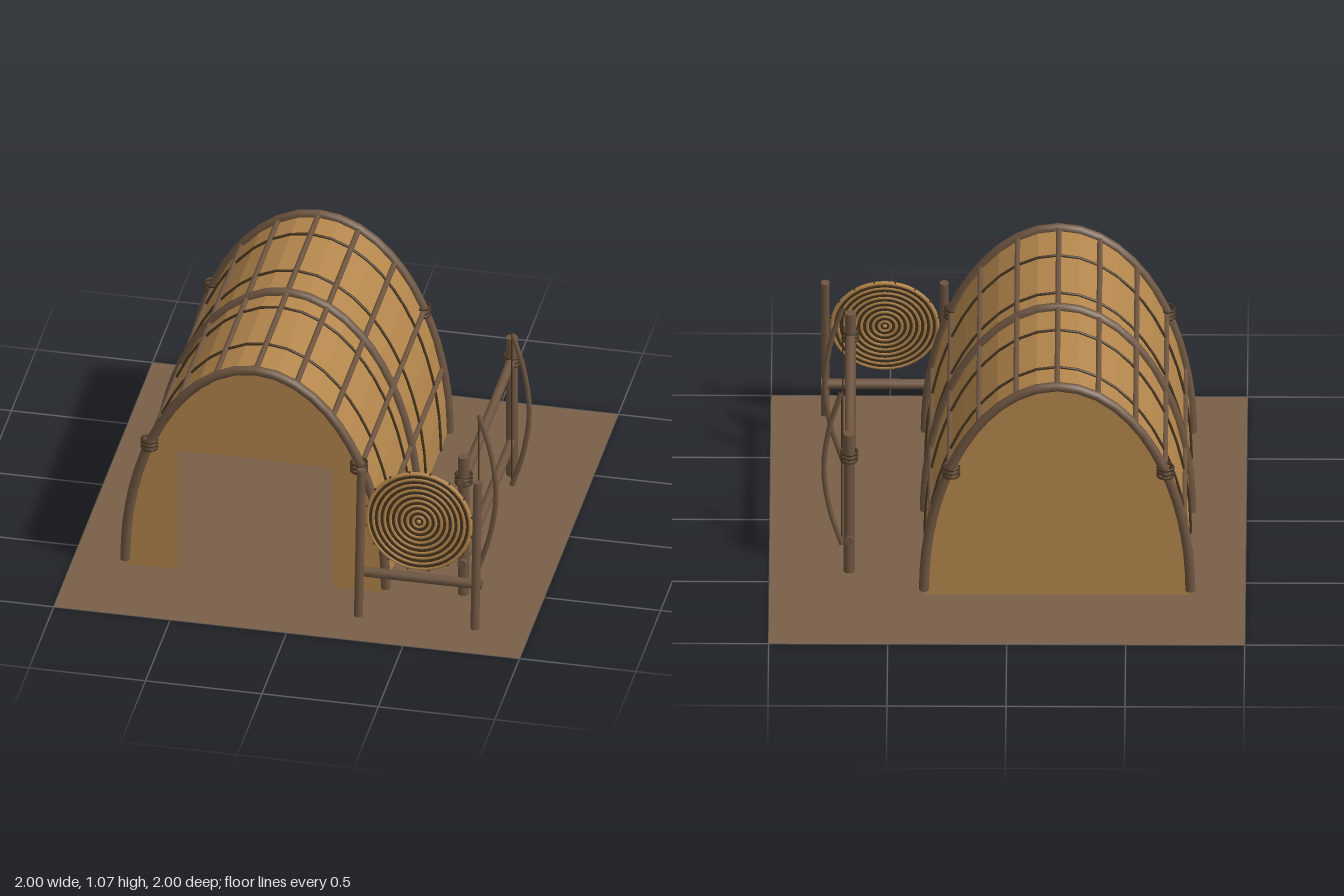
import * as THREE from 'three';

const mat = (name, color, side = THREE.FrontSide) => {
  const m = new THREE.MeshStandardMaterial({ color, side });
  m.name = name;
  return m;
};

export function createModel() {
  const root = new THREE.Group();
  root.name = 'archedHut';
  const earth = mat('earth', 0x7a5f47, THREE.DoubleSide);
  const bark = mat('bark', 0xb3864c, THREE.DoubleSide);
  bark.flatShading = true;
  const wood = mat('wood', 0x6e5540);
  const cord = mat('cord', 0x46341f);
  const shade = mat('shade', 0x3c2c22, THREE.DoubleSide);
  const straw = mat('straw', 0xb8894c);

  const V = (x, y, z) => new THREE.Vector3(x, y, z);
  const add = (name, geo, material, parent = root) => {
    const m = new THREE.Mesh(geo, material);
    m.name = name;
    parent.add(m);
    return m;
  };
  // straight round pole between two points
  const pole = (name, a, b, r, material = wood, parent = root) => {
    const m = add(name, new THREE.CylinderGeometry(r, r, a.distanceTo(b), 10), material, parent);
    m.position.copy(a).add(b).multiplyScalar(0.5);
    m.quaternion.setFromUnitVectors(V(0, 1, 0), b.clone().sub(a).normalize());
    return m;
  };
  // three stacked cord loops round a post
  const binding = (name, x, y, z, r, step = 0.019) => {
    const g = new THREE.Group();
    g.name = name;
    g.position.set(x, y, z);
    for (let i = -1; i <= 1; i++) {
      const t = add('cordLoop', new THREE.TorusGeometry(r, 0.006, 6, 16), cord, g);
      t.rotation.x = Math.PI / 2;
      t.position.y = i * step;
    }
    root.add(g);
  };

  // half-ellipse section shared by cover, end walls and ribs
  const CX = -0.21, BASE = 0.05, A = 0.56, B = 1.0, END = 0.64;
  const arch = (t, z = 0, inset = 0) =>
    V(CX + (A - inset) * Math.cos(t), BASE + (B - inset) * Math.sin(t), z);
  const archPoints = (n, z, inset) =>
    Array.from({ length: n + 1 }, (_, i) => arch((i / n) * Math.PI, z, inset));

  const ground = add('ground', new THREE.PlaneGeometry(2, 2), earth);
  ground.rotation.x = -Math.PI / 2;

  // bark cover, a lofted strip from front to back
  const N = 20;
  const cover = new THREE.PlaneGeometry(1, 1, N, 1);
  const pos = cover.attributes.position;
  for (let i = 0; i < pos.count; i++) {
    const p = arch((1 - (i % (N + 1)) / N) * Math.PI, i <= N ? -0.63 : 0.63, 0.005);
    pos.setXYZ(i, p.x, p.y, p.z);
  }
  cover.computeVertexNormals();
  add('barkCover', cover, bark);

  // end walls
  const endShape = (inset, door) => {
    const pts = archPoints(N, 0, inset).map(p => new THREE.Vector2(p.x, p.y));
    pts.push(new THREE.Vector2(CX - A + inset, 0.022));
    if (door) {
      [[-0.545, 0.022], [-0.545, 0.61], [0.12, 0.61], [0.12, 0.022]]
        .forEach(([x, y]) => pts.push(new THREE.Vector2(x, y)));
    }
    pts.push(new THREE.Vector2(CX + A - inset, 0.022));
    return new THREE.ShapeGeometry(new THREE.Shape(pts));
  };
  add('frontWall', endShape(0.005, true), bark).position.z = 0.635;
  add('backWall', endShape(0.005, false), bark).position.z = -0.635;
  add('darkInterior', endShape(0.02, false), shade).position.z = -0.622;

  // bent ribs and thin cord hoops
  const hoop = (name, z, r, inset, material) => add(name, new THREE.TubeGeometry(
    new THREE.CatmullRomCurve3(archPoints(N, z, inset)), 28, r, 8), material);
  [-END, 0, END].forEach(z => hoop('archRib', z, 0.021, 0, wood));
  [-0.48, -0.18, 0.12, 0.42].forEach(z => hoop('cordHoop', z, 0.006, 0.001, cord));

  // lengthwise poles
  for (let i = 1; i <= 9; i++) {
    const t = (i * Math.PI) / 10;
    pole('lengthPole', arch(t, -0.62), arch(t, 0.62), 0.012);
  }
  for (const x of [CX - 0.455, CX + 0.445])
    for (const z of [-END, END]) binding('ribBinding', x, 0.636, z, 0.033);

  // side rack with two posts and two rails
  const RX = 0.665;
  for (const z of [-0.425, 0.55]) {
    pole('rackPost', V(RX, 0.01, z), V(RX, 0.685, z), 0.025);
    binding('rackBinding', RX, 0.577, z, 0.033);
  }
  for (const y of [0.175, 0.575])
    pole('rackRail', V(RX, y, -0.455), V(RX, y, 0.59), 0.02);

  // bows leaning on the rack
  for (const z of [-0.275, 0.4]) {
    const curve = new THREE.CatmullRomCurve3(
      [V(0.697, 0.05, z), V(0.747, 0.22, z), V(0.772, 0.425, z), V(0.747, 0.63, z), V(0.697, 0.8, z)]);
    add('bow', new THREE.TubeGeometry(curve, 16, 0.011, 8), wood);
    pole('bowString', V(0.697, 0.05, z), V(0.697, 0.8, z), 0.003, cord);
  }

  // leaning frame
  for (const x of [0.272, 0.772])
    pole('framePost', V(x, 0.015, 0.828), V(x, 0.7, 0.767), 0.019);
  pole('frameBar', V(0.26, 0.2, 0.77), V(0.79, 0.2, 0.77), 0.022);

  // coiled straw disc
  const disc = new THREE.Group();
  disc.name = 'coiledDisc';
  disc.position.set(0.522, 0.483, 0.778);
  disc.rotation.x = -0.088;
  root.add(disc);
  const core = add('discCore', new THREE.CylinderGeometry(0.222, 0.222, 0.012, 40), cord, disc);
  core.rotation.x = Math.PI / 2;
  for (let i = 1; i <= 9; i++)
    add('strawCoil', new THREE.TorusGeometry(i * 0.0245, 0.0095, 6, 40), straw, disc);
  add('coilCentre', new THREE.SphereGeometry(0.012, 10, 8), straw, disc);
  for (let i = 0; i < 16; i++) {
    const a = ((i + 0.5) / 16) * Math.PI * 2;
    const s = add('rimStitch', new THREE.BoxGeometry(0.014, 0.006, 0.012), cord, disc);
    s.position.set(0.226 * Math.cos(a), 0.226 * Math.sin(a), 0);
    s.rotation.z = a;
  }
  return root;
}
